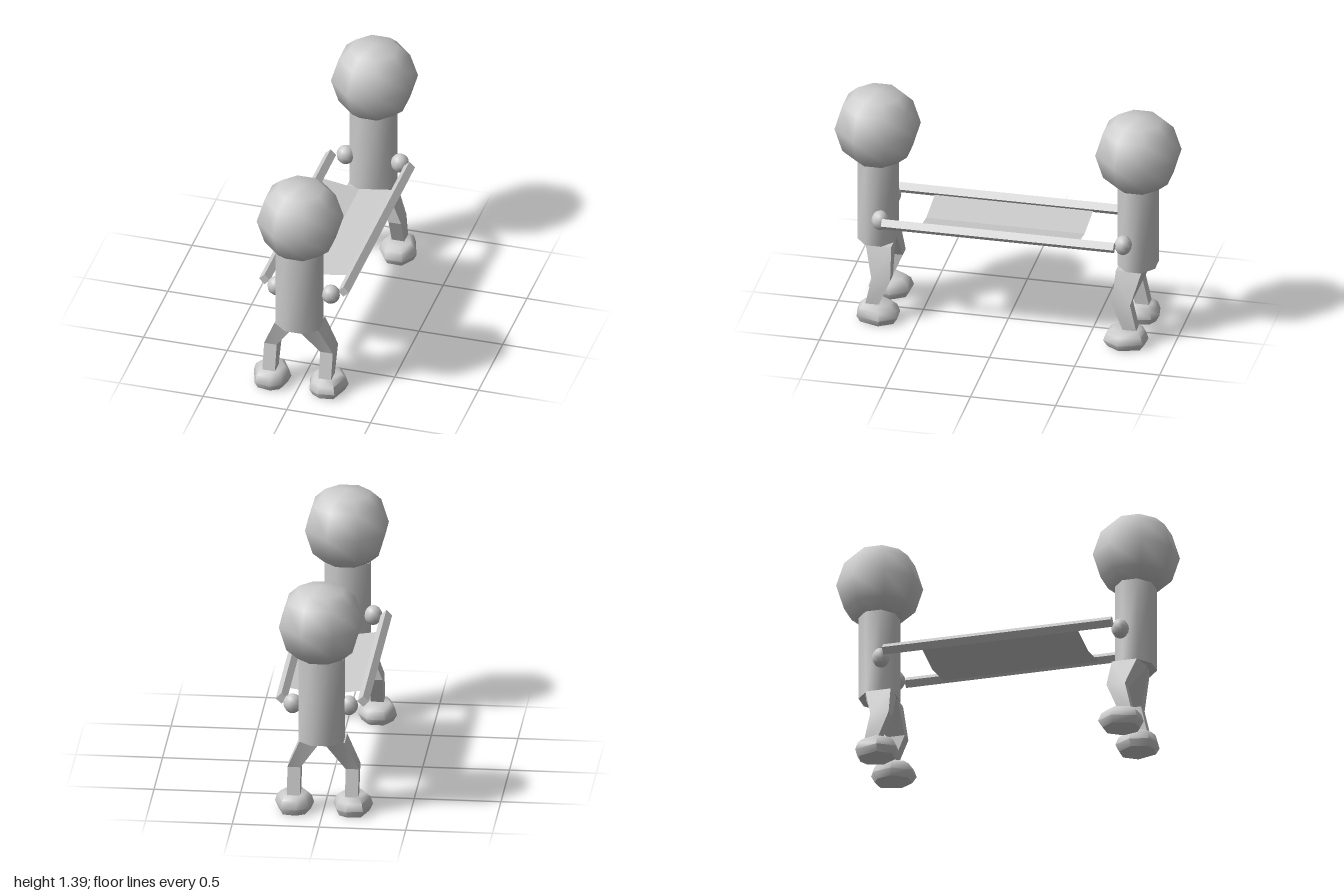
import * as THREE from 'three';
import { toCreasedNormals } from 'three/addons/utils/BufferGeometryUtils.js';

const grey = new THREE.MeshStandardMaterial({ color: 0xcccccc });
const thin = new THREE.MeshStandardMaterial({ color: 0xcccccc, side: THREE.DoubleSide });

function add(parent, name, geometry, x = 0, y = 0, z = 0, material = grey) {
  const mesh = new THREE.Mesh(geometry, material);
  mesh.name = name;
  mesh.position.set(x, y, z);
  parent.add(mesh);
  return mesh;
}

// Closed solid through rings of [x, y, z] points, ordered bottom to top
function loft(rings, crease) {
  const n = rings[0].length;
  const index = [];
  for (let r = 0; r < rings.length - 1; r++) {
    for (let i = 0; i < n; i++) {
      const a = r * n + i, b = r * n + (i + 1) % n;
      index.push(a, a + n, b, b, a + n, b + n);
    }
  }
  const top = (rings.length - 1) * n;
  for (let i = 1; i < n - 1; i++) {
    index.push(0, i, i + 1, top, top + i + 1, top + i);
  }
  // Turn the faces outward when the rings run the other way round
  let area = 0;
  rings[0].forEach((p, i) => {
    const q = rings[0][(i + 1) % n];
    area += p[0] * q[2] - q[0] * p[2];
  });
  if (area < 0) index.reverse();
  const geometry = new THREE.BufferGeometry();
  geometry.setAttribute('position', new THREE.Float32BufferAttribute(rings.flat(2), 3));
  geometry.setIndex(index);
  return toCreasedNormals(geometry, crease);
}

// Eight-sided head, profile as [distance to flat side, height]
function headGeometry() {
  const profile = [[0, 0.96], [0.125, 0.96], [0.19, 1.02], [0.2325, 1.165],
    [0.19, 1.31], [0.13, 1.37], [0, 1.395]];
  const points = profile.map(([r, y]) => new THREE.Vector2(r / Math.cos(Math.PI / 8), y));
  return toCreasedNormals(new THREE.LatheGeometry(points, 8, Math.PI / 8), 1.0);
}

function bodyGeometry() {
  const r = 1 / Math.cos(Math.PI / 8);
  const geometry = new THREE.CylinderGeometry(r, r, 0.51, 8, 1, false, Math.PI / 8);
  geometry.scale(0.13, 1, 0.11);
  return toCreasedNormals(geometry, 1.0);
}

// Foot outline seen from above: [outward, forward]
const footOutline = [[0.115, 0.06], [0.055, 0.155], [-0.05, 0.15], [-0.112, 0.05],
  [-0.085, -0.06], [-0.025, -0.095], [0.07, -0.08]];
const footRings = [[0, 0.82], [0.04, 1], [0.085, 0.88], [0.11, 0.66]];

// Leg rings: height, inner and outer x, front and back distance from the middle
const legRings = [
  [0.09, 0.13, 0.205, 0.725, 0.80],
  [0.27, 0.13, 0.205, 0.65, 0.76],
  [0.45, 0.015, 0.13, 0.66, 0.84],
];

// One carrier; dir is +1 at the front end and -1 at the back, facing the middle
function carrier(dir) {
  const group = new THREE.Group();
  group.name = dir > 0 ? 'frontCarrier' : 'backCarrier';
  add(group, 'head', headGeometry(), 0.0125, 0, dir * 0.766);
  add(group, 'body', bodyGeometry(), 0.0075, 0.705, dir * 0.765);
  for (const side of [-1, 1]) {
    const label = side > 0 ? 'left' : 'right';
    const leg = legRings.map(([y, inner, outer, front, back]) => [
      [side * inner, y, dir * front], [side * outer, y, dir * front],
      [side * outer, y, dir * (back - (y > 0.4 ? 0.03 : 0))], [side * inner, y, dir * back],
    ]);
    add(group, label + 'Leg', loft(leg, 0.4));
    const foot = footRings.map(([y, s]) => footOutline.map(([out, fwd]) =>
      [side * (0.168 + out * s), y, dir * (0.76 - 0.02 * (1 - s) - fwd * s)]));
    add(group, label + 'Foot', loft(foot, 1.0));
    const hand = new THREE.SphereGeometry(1, 10, 8);
    hand.scale(0.054, 0.058, 0.051);
    add(group, label + 'Hand', hand, 0.018 + side * 0.162, 0.645, dir * 0.714);
  }
  return group;
}

function stretcher() {
  const group = new THREE.Group();
  group.name = 'stretcher';
  // Square poles standing on edge
  for (const [name, x] of [['rightPole', -0.223], ['leftPole', 0.248]]) {
    const geometry = new THREE.CylinderGeometry(0.033, 0.033, 1.365, 4);
    geometry.rotateX(Math.PI / 2);
    add(group, name, toCreasedNormals(geometry, 0.5), x, 0.657, 0.006);
  }
  // Cloth sagging to a fold along its middle
  const cloth = new THREE.PlaneGeometry(0.46, 0.93, 2, 1);
  cloth.rotateX(-Math.PI / 2);
  const p = cloth.attributes.position;
  for (let i = 0; i < p.count; i++) p.setY(i, 0.603 + Math.abs(p.getX(i)) * 0.15);
  add(group, 'cloth', toCreasedNormals(cloth, 0.1), 0.0125, 0, 0.015, thin);
  return group;
}

export function createModel() {
  const model = new THREE.Group();
  model.name = 'stretcherCarriers';
  model.add(carrier(1), carrier(-1), stretcher());
  return model;
}
